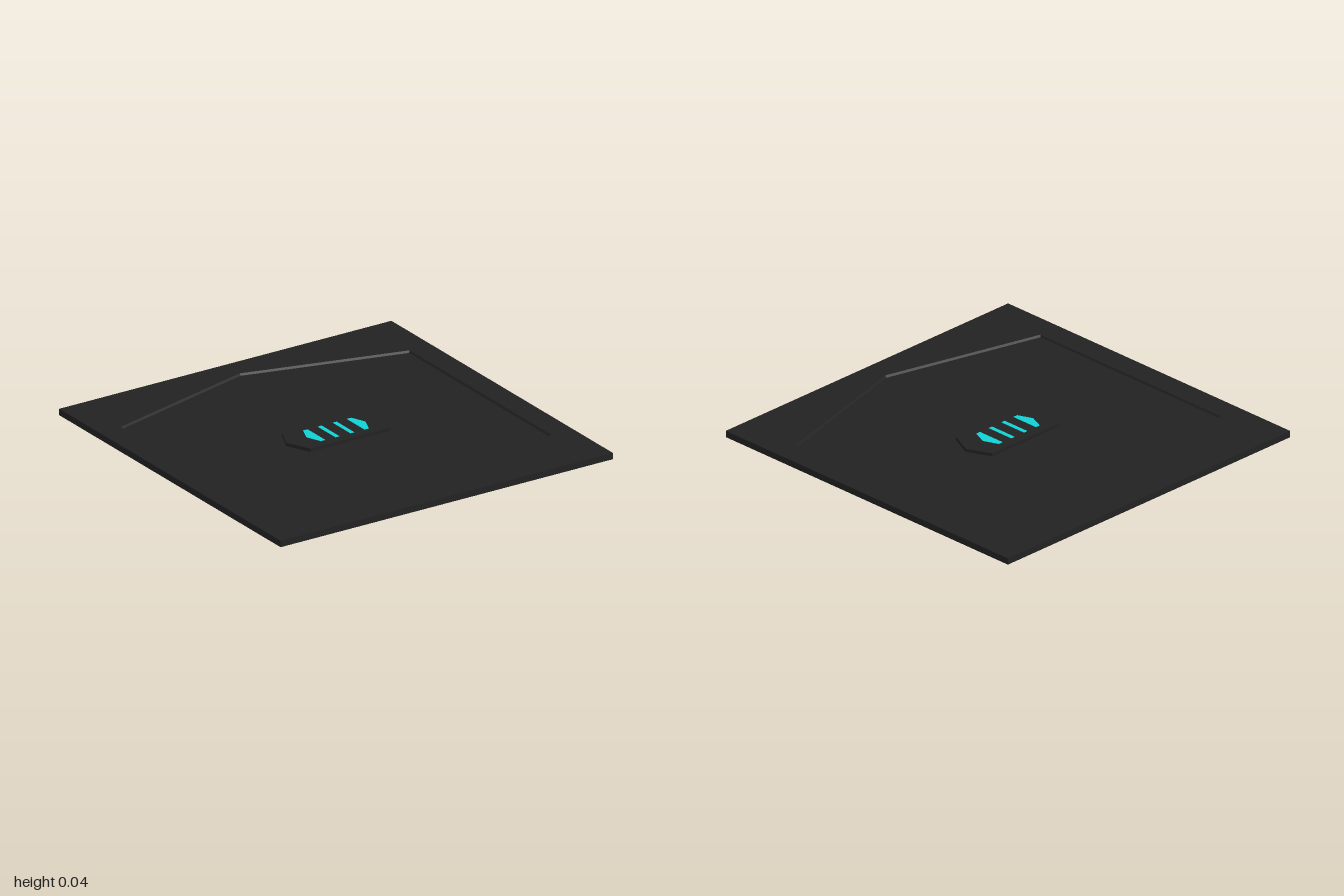
import * as THREE from 'three';

const SIZE = 2, FLOOR = 0.024, TOP = 0.035, PLATE_TOP = 0.0415, LIGHT_TOP = 0.043;

const dark = new THREE.MeshStandardMaterial({ color: 0x222222, flatShading: true });
const teal = new THREE.MeshStandardMaterial({ color: 0x10d0d4, flatShading: true });

const points = (list) => list.map(([x, y]) => new THREE.Vector2(x, y));

// Upright prism standing between two heights, from a plan outline
function prism(name, shape, bottom, top, material) {
  const geometry = new THREE.ExtrudeGeometry(shape, { depth: top - bottom, bevelEnabled: false });
  geometry.rotateX(-Math.PI / 2).translate(0, bottom, 0);
  const mesh = new THREE.Mesh(geometry, material);
  mesh.name = name;
  return mesh;
}

export function createModel() {
  const model = new THREE.Group();
  model.name = 'floorTile';

  // Solid lower slab
  const base = new THREE.Mesh(new THREE.BoxGeometry(SIZE, FLOOR, SIZE), dark);
  base.position.y = FLOOR / 2;
  base.name = 'baseSlab';
  model.add(base);

  // Raised border around a shallow six-sided recess
  const h = SIZE / 2;
  const outline = new THREE.Shape(points([[-h, -h], [h, -h], [h, h], [-h, h]]));
  outline.holes.push(new THREE.Path(points([
    [0, 0.87], [-0.87, 0.64], [-0.87, -0.64], [0, -0.87], [0.87, -0.64], [0.87, 0.64],
  ])));
  const border = prism('raisedBorder', outline, FLOOR, TOP, dark);

  // Slope the recess walls slightly inwards at the floor
  const p = border.geometry.attributes.position;
  for (let i = 0; i < p.count; i++) {
    const inner = Math.max(Math.abs(p.getX(i)), Math.abs(p.getZ(i))) < 0.95;
    if (inner && p.getY(i) < FLOOR + 0.001) p.setXYZ(i, p.getX(i) * 0.992, p.getY(i), p.getZ(i) * 0.992);
  }
  border.geometry.computeVertexNormals();
  model.add(border);

  // Central plate with pointed ends
  const plate = new THREE.Shape(points([
    [-0.3, 0], [-0.24, -0.13], [0.24, -0.13], [0.3, 0], [0.24, 0.13], [-0.24, 0.13],
  ]));
  model.add(prism('centrePlate', plate, FLOOR, PLATE_TOP, dark));

  // Mirrored light strips: an inner bar and a pointed end on each side
  for (const s of [-1, 1]) {
    const side = s > 0 ? 'left' : 'right';
    const bar = new THREE.Shape(points([
      [s * 0.033, -0.08], [s * 0.057, -0.08], [s * 0.057, 0.08], [s * 0.033, 0.08],
    ]));
    const tip = new THREE.Shape(points([
      [s * 0.118, -0.08], [s * 0.145, -0.08], [s * 0.178, 0], [s * 0.145, 0.08], [s * 0.118, 0.08],
    ]));
    model.add(prism(side + 'LightBar', bar, PLATE_TOP - 0.002, LIGHT_TOP, teal));
    model.add(prism(side + 'LightTip', tip, PLATE_TOP - 0.002, LIGHT_TOP, teal));
  }
  return model;
}
